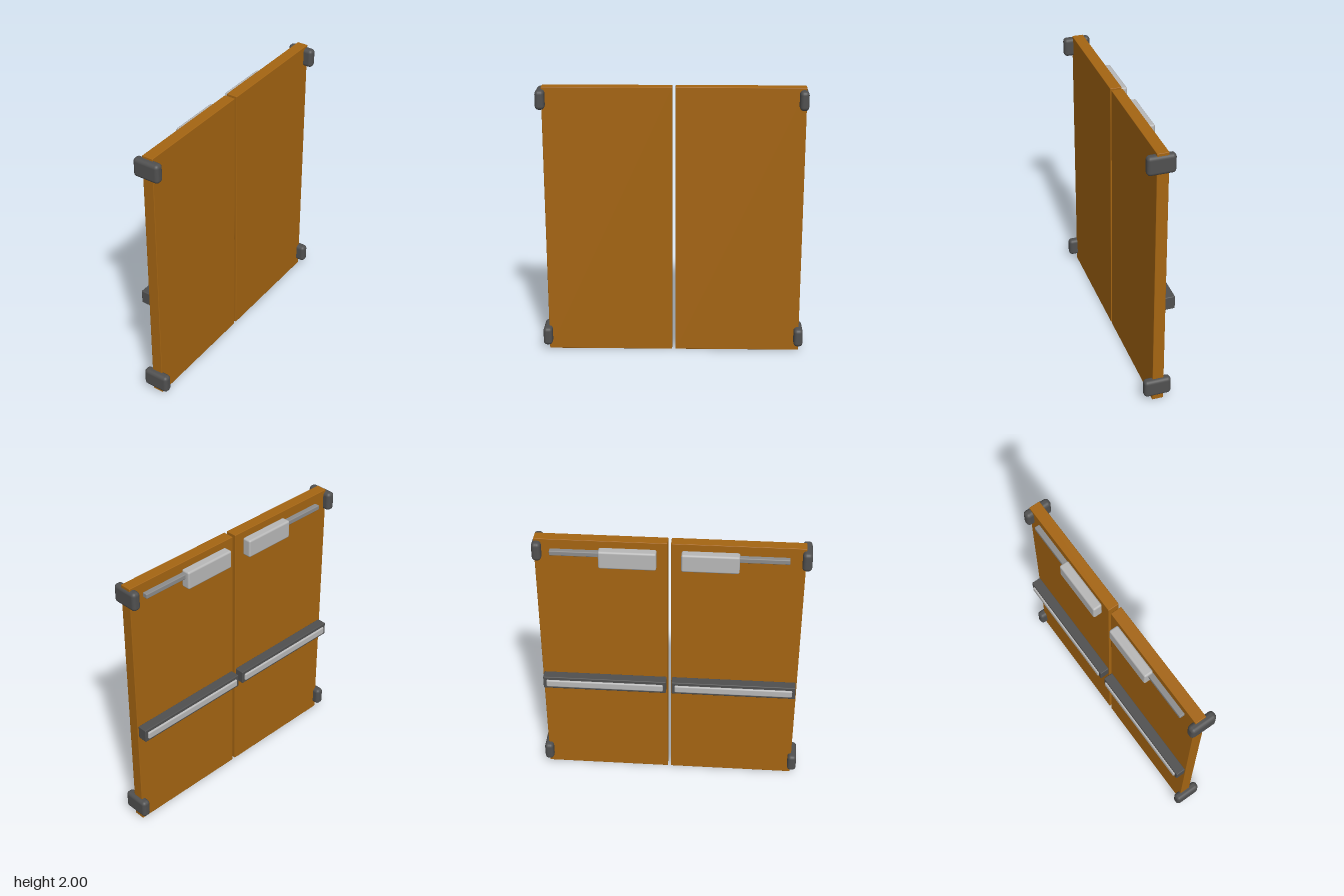
import * as THREE from 'three';
import { RoundedBoxGeometry } from 'three/addons/geometries/RoundedBoxGeometry.js';

const wood = new THREE.MeshStandardMaterial({ color: 0xa56512 });
const dark = new THREE.MeshStandardMaterial({ color: 0x505050 });
const silver = new THREE.MeshStandardMaterial({ color: 0xb8b8b8 });
const steel = new THREE.MeshStandardMaterial({ color: 0x8c8c8c });

// Rounded box given by its limits along each axis
function block(name, material, [x0, x1], [y0, y1], [z0, z1], radius) {
  const geometry = new RoundedBoxGeometry(x1 - x0, y1 - y0, Math.abs(z1 - z0), 3, radius);
  const mesh = new THREE.Mesh(geometry, material);
  mesh.name = name;
  mesh.position.set((x0 + x1) / 2, (y0 + y1) / 2, (z0 + z1) / 2);
  return mesh;
}

// One door leaf; side is +1 or -1 along z, seam is where its inner edge lies
function createLeaf(name, side, seam, topHinge) {
  const leaf = new THREE.Group();
  leaf.name = name;
  // Distances are measured outward from the inner edge
  const span = (a, b) => [side * (seam + a), side * (seam + b)];

  leaf.add(
    block('doorPanel', wood, [-0.032, 0.05], [0, 2], span(0, 0.917), 0.004),
    // Push bar: housing and the narrower bar proud of it
    block('pushBarHousing', dark, [-0.103, -0.03], [0.767, 0.867], span(0.008, 0.909), 0.006),
    block('pushBar', silver, [-0.115, -0.06], [0.786, 0.843], span(0.03, 0.886), 0.01),
    // Closer box with its arm
    block('closerBox', silver, [-0.1, -0.03], [1.818, 1.952], span(0.073, 0.47), 0.014),
    block('closerArm', steel, [-0.07, -0.03], [1.892, 1.928], span(0.45, 0.808), 0.006),
    // Hinges wrapped over the outer edge
    block('topHinge', dark, [-0.083, 0.115], [1.846, 1.984], topHinge.map(z => z * side), 0.026),
    block('bottomHinge', dark, [-0.083, 0.115], [0.05, 0.186], [side * 0.897, side * 0.963], 0.026)
  );
  return leaf;
}

export function createModel() {
  const model = new THREE.Group();
  model.name = 'doubleDoor';
  model.add(
    createLeaf('frontLeaf', 1, 0.006, [0.897, 0.963]),
    createLeaf('backLeaf', -1, 0.018, [0.883, 0.947])
  );
  return model;
}
